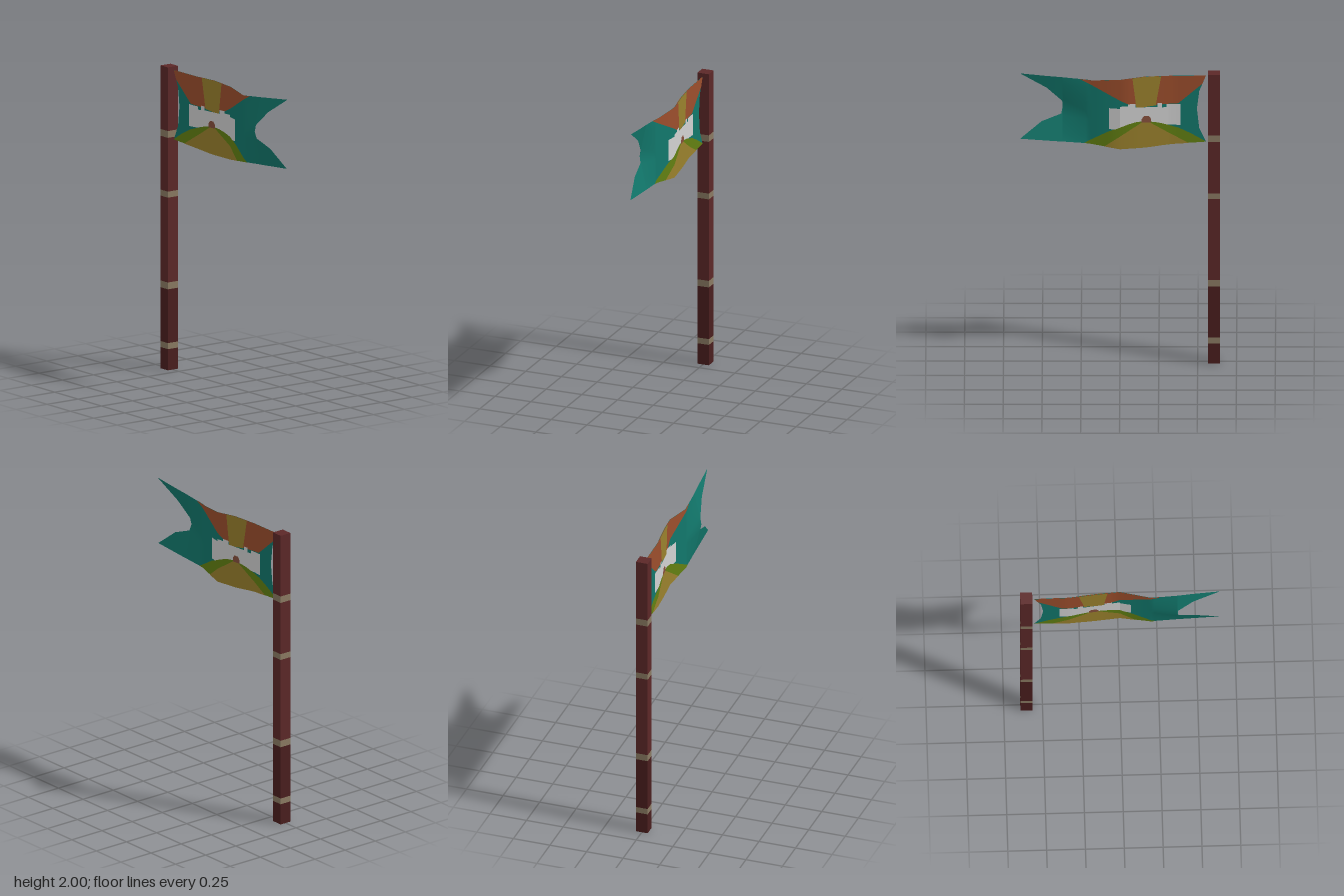
import * as THREE from 'three';

const paint = (name, color) => {
  const m = new THREE.MeshStandardMaterial({ color });
  m.name = name;
  return m;
};

// Sideways fold of the cloth at a point (z, y)
const FOLDS = [[-0.56, 0], [-0.33, 0.003], [0, 0.039], [0.2, 0], [0.643, 0.014]];
function fold(z, y) {
  let i = 0;
  while (i < FOLDS.length - 2 && z > FOLDS[i + 1][0]) i++;
  const [z0, x0] = FOLDS[i], [z1, x1] = FOLDS[i + 1];
  const x = x0 + (x1 - x0) * (z - z0) / (z1 - z0);
  const belly = THREE.MathUtils.clamp((z - 0.2) / 0.17, 0, 1);
  const middle = Math.max(0, 1 - Math.abs(y - 1.75) / 0.23);
  return x - 0.05 * belly * middle;
}

// Strip of cloth between a lower and an upper edge; each station is [z, low, high]
function cloth(stations, offset) {
  const cols = [];
  stations.forEach((s, i) => {
    cols.push(s);
    const n = stations[i + 1];
    if (!n) return;
    for (const z of [-0.33, 0, 0.2, 0.37]) {
      if (z > s[0] + 1e-4 && z < n[0] - 1e-4) {
        const t = (z - s[0]) / (n[0] - s[0]);
        cols.push([z, s[1] + (n[1] - s[1]) * t, s[2] + (n[2] - s[2]) * t]);
      }
    }
  });
  const rows = 8, pos = [], index = [];
  cols.forEach(([z, low, high], c) => {
    for (let r = 0; r <= rows; r++) {
      const y = low + (high - low) * r / rows;
      pos.push(fold(z, y) + offset, y, z);
      if (c && r) {
        const d = c * (rows + 1) + r, b = d - rows - 1;
        index.push(b - 1, b, d, b - 1, d, d - 1);
      }
    }
  });
  const g = new THREE.BufferGeometry();
  g.setAttribute('position', new THREE.Float32BufferAttribute(pos, 3));
  g.setIndex(index);
  g.computeVertexNormals();
  return g;
}

export function createModel() {
  const model = new THREE.Group();
  model.name = 'bannerOnPole';

  const wood = paint('redWood', 0x5c2828);
  const darkWood = paint('darkRedWood', 0x4a1e1e);
  const binding = paint('bindingTan', 0x8a7a62);
  const teal = paint('teal', 0x12786c);
  const orange = paint('rustOrange', 0x9c4e2c);
  const mustard = paint('mustard', 0x9a812c);
  const green = paint('leafGreen', 0x628012);
  const white = paint('paleGrey', 0xd2d2d2);
  const brown = paint('doorBrown', 0x87503c);
  for (const m of [teal, orange, mustard, green, white, brown]) m.side = THREE.DoubleSide;

  // Square pole, stacked from wood lengths and flush bindings
  const pole = new THREE.Group();
  pole.name = 'pole';
  model.add(pole);
  const cuts = [0, 0.14, 0.18, 0.535, 0.58, 1.14, 1.18, 1.535, 1.58, 2];
  for (let i = 0; i < cuts.length - 1; i++) {
    const h = cuts[i + 1] - cuts[i];
    const isBinding = i % 2 === 1;
    const part = new THREE.Mesh(new THREE.BoxGeometry(0.08, h, 0.078),
      isBinding ? binding : i < 4 ? darkWood : wood);
    part.name = isBinding ? 'poleBinding' : 'poleLength';
    part.position.set(0, cuts[i] + h / 2, -0.604);
    pole.add(part);
  }

  const flag = new THREE.Group();
  flag.name = 'flag';
  model.add(flag);
  const add = (name, material, stations, layer = 0) => {
    for (const side of layer ? [-1, 1] : [0]) {
      const mesh = new THREE.Mesh(cloth(stations, side * layer * 0.0015), material);
      mesh.name = name;
      flag.add(mesh);
    }
  };

  // Teal cloth: hoist corners, body and swallow tails
  add('hoistUpperCorner', teal, [[-0.553, 1.98, 1.98], [-0.51, 1.873, 1.98], [-0.495, 1.75, 1.98]]);
  add('hoistLowerCorner', teal, [[-0.553, 1.523, 1.523], [-0.51, 1.52, 1.618], [-0.495, 1.519, 1.75]]);
  add('flagBody', teal, [
    [-0.495, 1.519, 1.98], [-0.31, 1.507, 1.98], [-0.15, 1.49, 1.98], [0, 1.485, 1.965],
    [0.18, 1.508, 1.947], [0.22, 1.512, 1.952], [0.37, 1.524, 1.969],
  ]);
  add('upperTail', teal, [[0.37, 1.745, 1.969], [0.372, 1.79, 1.969], [0.47, 1.89, 1.98], [0.643, 2, 2]]);
  add('lowerTail', teal, [[0.37, 1.524, 1.745], [0.378, 1.524, 1.703], [0.505, 1.534, 1.655], [0.643, 1.545, 1.545]]);

  // Sky wedge with a light beam
  add('skyWedge', orange, [
    [-0.553, 1.98, 1.98], [-0.53, 1.924, 1.98], [-0.375, 1.79, 1.98], [-0.15, 1.78, 1.98],
    [-0.06, 1.79, 1.971], [0.18, 1.914, 1.947], [0.26, 1.956, 1.956],
  ], 1);
  add('skyBeam', mustard, [
    [-0.265, 1.98, 1.98], [-0.23, 1.78, 1.98], [-0.15, 1.77, 1.98], [-0.105, 1.77, 1.975], [-0.08, 1.973, 1.973],
  ], 2);

  // Hill with a path fanning out
  add('hill', green, [
    [-0.553, 1.523, 1.525], [-0.46, 1.517, 1.58], [-0.38, 1.512, 1.62], [-0.25, 1.5, 1.66], [-0.16, 1.49, 1.675],
    [-0.08, 1.487, 1.665], [0, 1.485, 1.635], [0.08, 1.495, 1.6], [0.15, 1.504, 1.56], [0.23, 1.513, 1.514],
  ], 1);
  add('hillPath', mustard, [
    [-0.44, 1.515, 1.516], [-0.31, 1.507, 1.59], [-0.19, 1.493, 1.665], [-0.14, 1.49, 1.665],
    [0, 1.485, 1.573], [0.1, 1.497, 1.498],
  ], 2);

  // Walled building with a stepped roofline and a door
  add('castle', white, [
    [-0.39, 1.64, 1.785], [-0.3, 1.645, 1.785], [-0.3, 1.645, 1.765], [-0.27, 1.655, 1.765],
    [-0.27, 1.655, 1.795], [-0.24, 1.662, 1.795], [-0.24, 1.662, 1.77], [-0.16, 1.675, 1.77],
    [-0.1, 1.668, 1.77], [-0.1, 1.668, 1.795], [-0.05, 1.654, 1.795], [-0.05, 1.654, 1.78],
    [0, 1.635, 1.78], [0, 1.635, 1.765], [0.03, 1.62, 1.765], [0.07, 1.62, 1.765],
  ], 2);
  add('castleDoor', brown, [
    [-0.2, 1.665, 1.69], [-0.185, 1.665, 1.71], [-0.155, 1.665, 1.71], [-0.14, 1.665, 1.69],
  ], 3);

  return model;
}
